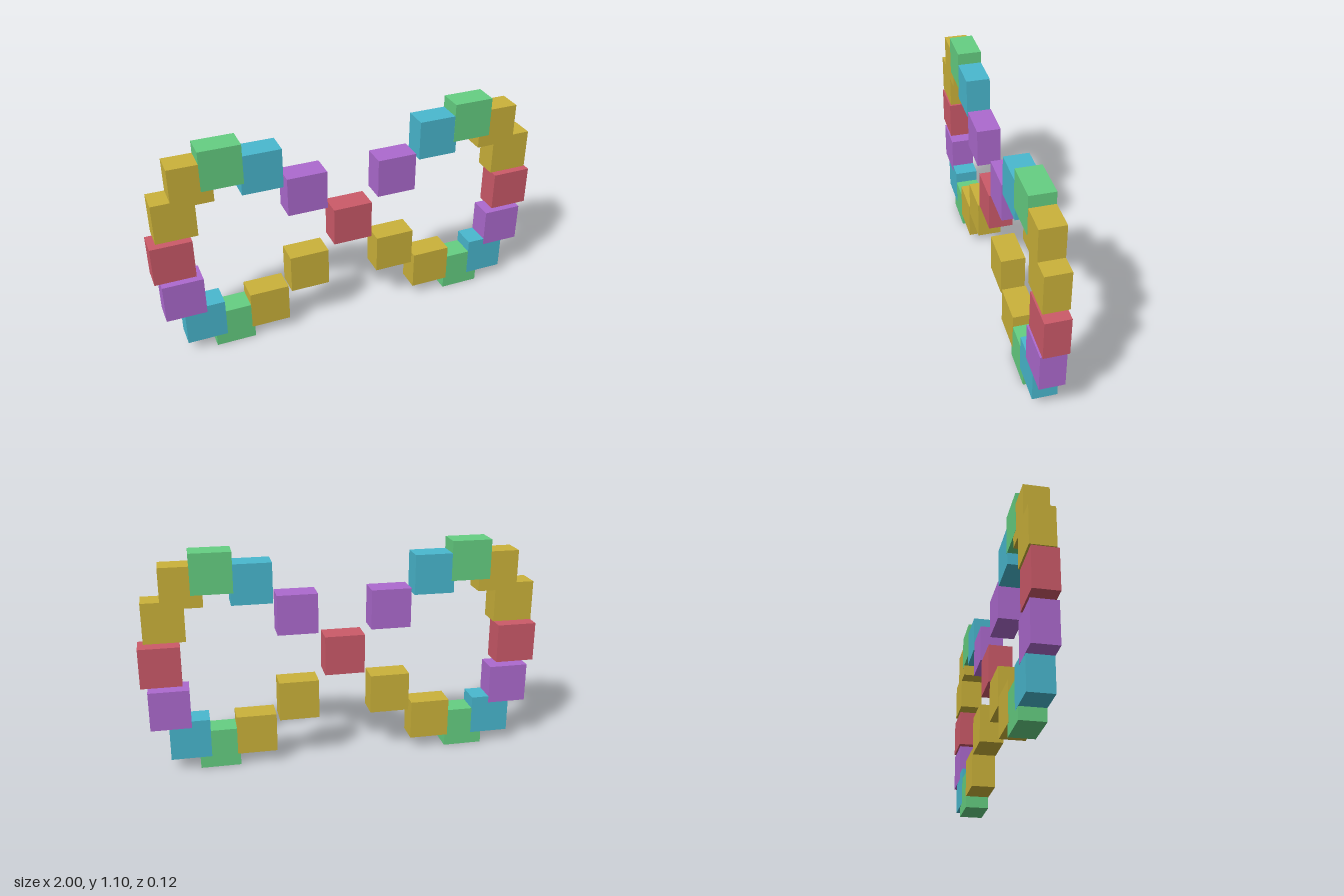
import * as THREE from 'three';

const paint = (name, color) => {
  const m = new THREE.MeshStandardMaterial({ color });
  m.name = name;
  return m;
};

export function createModel() {
  const red = paint('red', 0xcc5a69);
  const gold = paint('gold', 0xcbb23a);
  const green = paint('green', 0x65cf82);
  const teal = paint('teal', 0x49b8cf);
  const purple = paint('purple', 0xad6acf);

  const model = new THREE.Group();
  model.name = 'figureEightOfBlocks';

  // Blocks sit on a figure-eight curve; a hair of extra depth decides
  // which colour shows where two neighbours overlap.
  const addBlock = (name, material, angle, side, layer = 0) => {
    const depth = 0.12 + layer * 0.001;
    const block = new THREE.Mesh(new THREE.BoxGeometry(0.2, 0.2, depth), material);
    block.name = name;
    block.position.set(side * 0.9 * Math.cos(angle), 0.55 + 0.45 * Math.sin(2 * angle), 0);
    model.add(block);
  };

  // Colour and layer for each 15 degree step, from the outer end to the crossing
  const upper = [[gold, 0], [gold, 0], [green, 1], [teal, 0], [purple, 0]];
  const lower = [[purple, 2], [teal, 1], [green, 0], [gold, 1], [gold, 1]];

  for (const [sideName, side] of [['left', 1], ['right', -1]]) {
    addBlock(`${sideName}EndBlock`, red, 0, side);
    for (let i = 0; i < 5; i++) {
      const angle = (i + 1) * Math.PI / 12;
      addBlock(`${sideName}UpperBlock${i + 1}`, upper[i][0], angle, side, upper[i][1]);
      addBlock(`${sideName}LowerBlock${i + 1}`, lower[i][0], -angle, side, lower[i][1]);
    }
  }

  // Single block at the crossing
  addBlock('centreBlock', red, Math.PI / 2, 1);

  return model;
}
